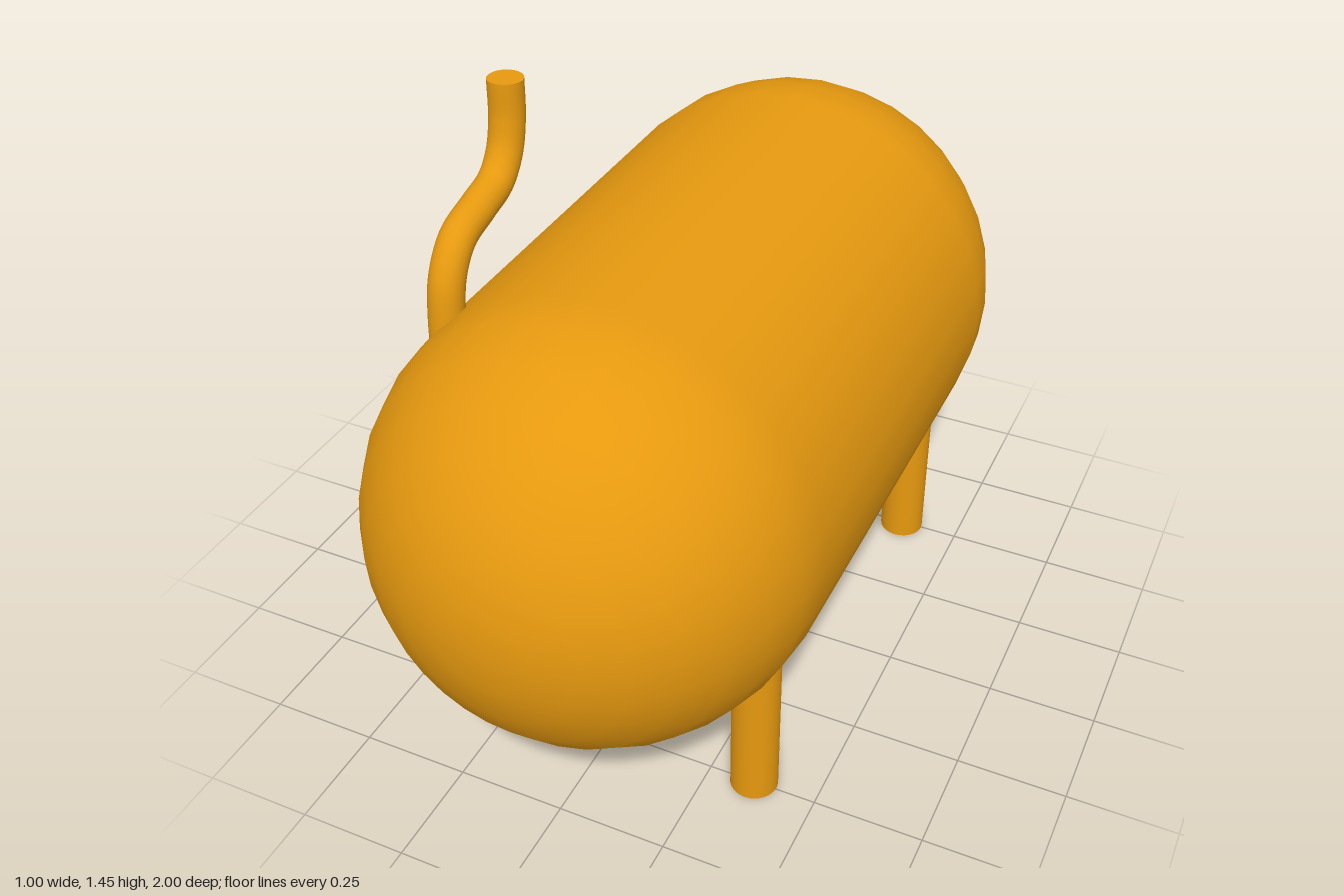
import * as THREE from 'three';

export function createModel() {
  const group = new THREE.Group();
  const paint = new THREE.MeshStandardMaterial({ color: 0xe6990f });
  const add = (name, geometry, x, y, z) => {
    const mesh = new THREE.Mesh(geometry, paint);
    mesh.name = name;
    mesh.position.set(x, y, z);
    group.add(mesh);
    return mesh;
  };

  const R = 0.5, centreY = 0.674, legX = 0.354, legZ = 0.496;

  // Tank: open barrel closed by two domed ends
  add('tankBarrel', new THREE.CylinderGeometry(R, R, 1, 32, 1, true).rotateX(Math.PI / 2), 0, centreY, 0);
  for (const side of [1, -1]) {
    const dome = new THREE.SphereGeometry(R, 32, 8, 0, Math.PI * 2, 0, Math.PI / 2);
    dome.rotateX(side * Math.PI / 2);
    add(side > 0 ? 'frontDome' : 'backDome', dome, 0, centreY, side * 0.5);
  }

  // Four legs running up into the tank
  const legHeight = 0.46;
  for (const sx of [1, -1]) {
    for (const sz of [1, -1]) {
      const name = (sz > 0 ? 'front' : 'back') + (sx > 0 ? 'Left' : 'Right') + 'Leg';
      add(name, new THREE.CylinderGeometry(0.054, 0.054, legHeight, 24), sx * legX, legHeight / 2, sz * legZ);
    }
  }

  // S-bent pipe rising from the tank's right shoulder
  const path = new THREE.CatmullRomCurve3([
    [0.92, 0.486], [1.03, 0.484], [1.12, 0.468], [1.185, 0.42], [1.215, 0.335],
    [1.24, 0.26], [1.29, 0.218], [1.36, 0.199], [1.445, 0.196],
  ].map(([y, z]) => new THREE.Vector3(0, y, z)));
  add('pipe', new THREE.TubeGeometry(path, 48, 0.039, 20), -0.355, 0, 0);

  // Flat end of the pipe
  add('pipeEnd', new THREE.CircleGeometry(0.039, 20).rotateX(-Math.PI / 2), -0.355, 1.445, 0.196);

  return group;
}
